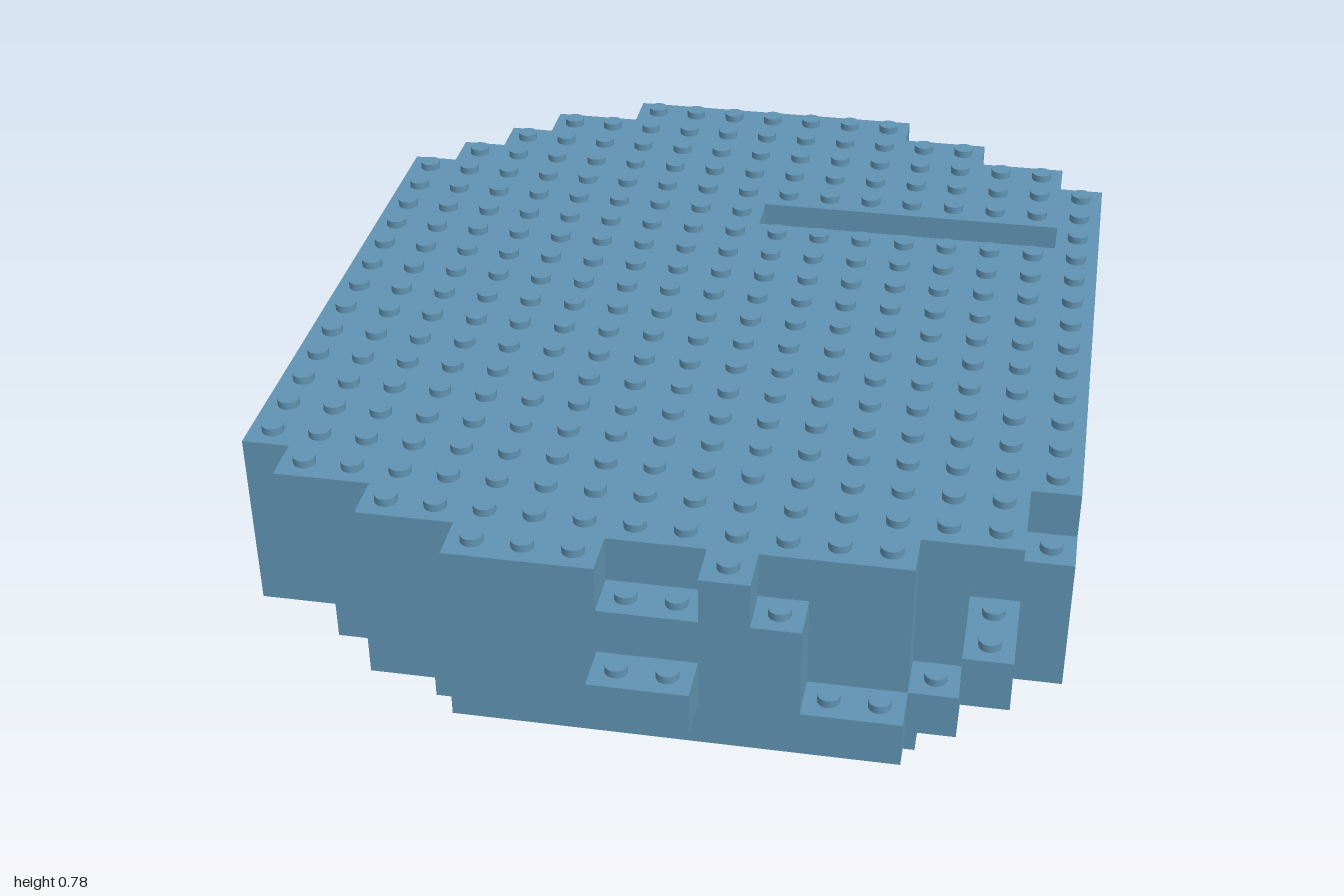
import * as THREE from 'three';
import { mergeGeometries } from 'three/addons/utils/BufferGeometryUtils.js';

const P = 2 / 21;                      // brick pitch, also the brick height
const colX = i => (i - 8) * P;         // centre of column i (0..16)
const rowZ = j => (j - 10) * P;        // centre of row j (0..20)

// Each table layer lists bands: [first row, last row, [first column, last column], ...]
const LAYERS = [
  [ // lowest course
    [1, 1, [3, 13]], [2, 2, [2, 13]], [3, 3, [1, 14]], [4, 16, [0, 16]],
    [17, 17, [2, 15]], [18, 18, [3, 14]], [19, 19, [5, 13]],
  ],
  [
    [0, 0, [5, 11]], [1, 1, [3, 13]], [2, 2, [2, 14]], [3, 3, [1, 15]], [4, 16, [0, 16]],
    [17, 17, [1, 15]], [18, 18, [3, 13], [15, 15]], [19, 19, [5, 11]], [20, 20, [8, 9]],
  ],
  [
    [0, 0, [5, 11]], [1, 1, [3, 13]], [2, 2, [2, 13]], [3, 3, [1, 15]], [4, 16, [0, 16]],
    [17, 17, [1, 14]], [18, 18, [3, 13]], [19, 19, [5, 11]],
  ],
  [ // top course, with a one-row slot and notched front edge
    [0, 0, [5, 11]], [1, 1, [3, 13]], [2, 2, [2, 15]], [3, 4, [1, 16]], [4, 4, [0, 0]],
    [5, 5, [0, 8], [16, 16]], [6, 15, [0, 16]], [16, 16, [0, 15]],
    [17, 17, [1, 15]], [18, 18, [3, 13]], [19, 19, [5, 7], [10, 10]],
  ],
];

// Box covering a block of cells at a given course
function brick(i0, i1, j0, j1, level, material, name) {
  const mesh = new THREE.Mesh(
    new THREE.BoxGeometry((i1 - i0 + 1) * P, P, (j1 - j0 + 1) * P), material);
  mesh.position.set((colX(i0) + colX(i1)) / 2, (level + 0.5) * P, (rowZ(j0) + rowZ(j1)) / 2);
  mesh.name = name;
  return mesh;
}

const covers = (layer, i, j) => !!layer && layer.some(([j0, j1, ...runs]) =>
  j >= j0 && j <= j1 && runs.some(([a, b]) => i >= a && i <= b));

export function createModel() {
  const model = new THREE.Group();
  model.name = 'brickTable';
  const blue = new THREE.MeshStandardMaterial({ color: 0x6093b2 });
  blue.name = 'sand blue';

  // Legs: four stacks of two-by-two bricks
  for (const i of [3, 12]) for (const j of [6, 13]) {
    const leg = new THREE.Group();
    leg.name = 'leg';
    for (let level = 0; level < 4; level++)
      leg.add(brick(i, i + 1, j, j + 1, level, blue, 'legBrick'));
    model.add(leg);
  }

  // Table top: four courses, and studs wherever nothing sits above
  const stud = new THREE.CylinderGeometry(0.022, 0.022, 0.017, 16);
  LAYERS.forEach((layer, n) => {
    const course = new THREE.Group();
    course.name = 'tableCourse' + (n + 1);
    const studs = [];
    for (const [j0, j1, ...runs] of layer) for (const [a, b] of runs) {
      // Bricks in a run are at most four columns wide
      for (let i = a; i <= b; i += 4)
        course.add(brick(i, Math.min(i + 3, b), j0, j1, n + 4, blue, 'brick'));
      for (let i = a; i <= b; i++) for (let j = j0; j <= j1; j++)
        if (!covers(LAYERS[n + 1], i, j))
          studs.push(stud.clone().translate(colX(i), (n + 5) * P + 0.0075, rowZ(j)));
    }
    if (studs.length) {
      const mesh = new THREE.Mesh(mergeGeometries(studs), blue);
      mesh.name = 'studs';
      course.add(mesh);
    }
    model.add(course);
  });
  return model;
}
